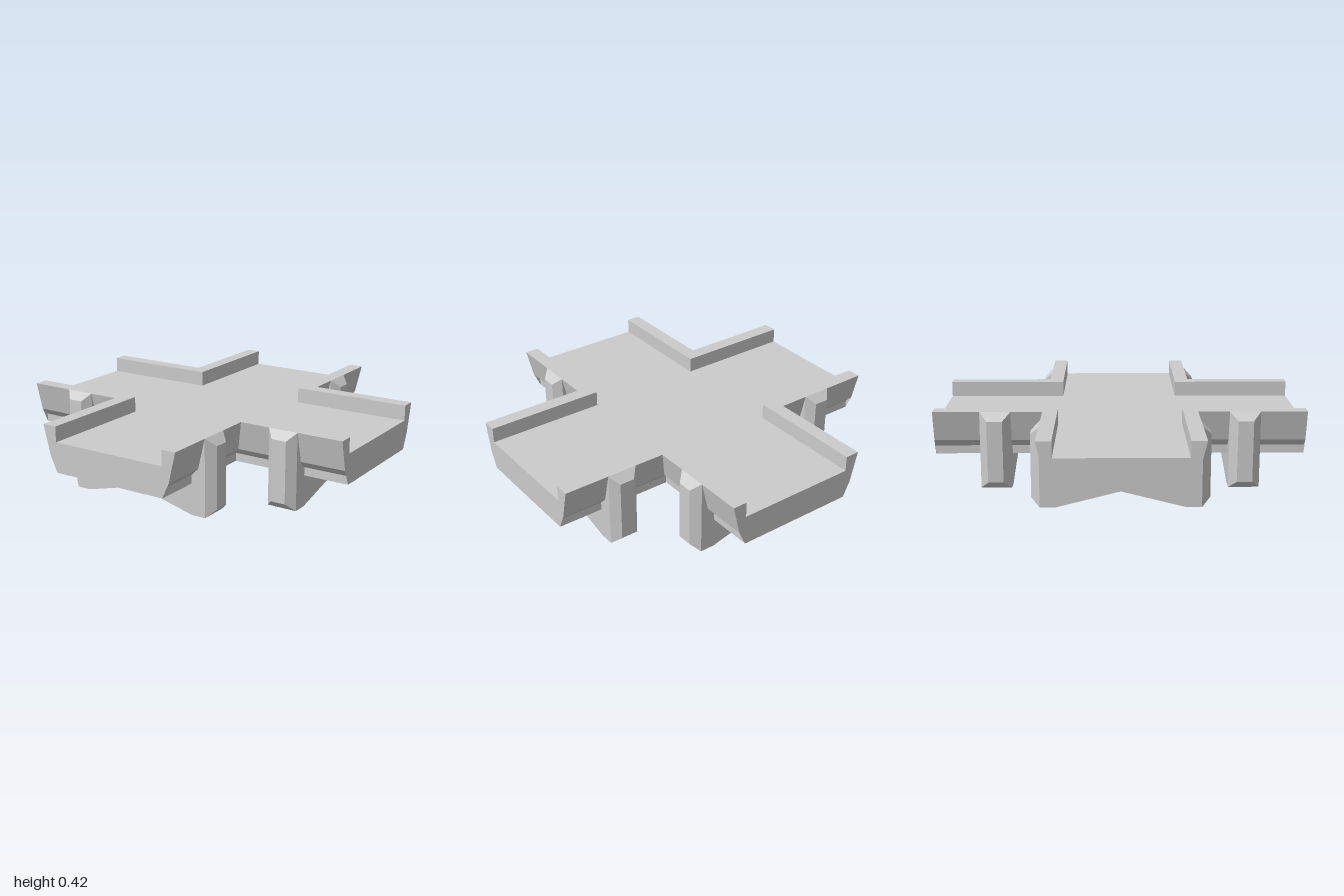
import * as THREE from 'three';

const INNER = 0.335, OUTER = 0.415, TOP = 0.42, DECK = 0.335, UNDER = 0.17;
const material = new THREE.MeshStandardMaterial({ color: 0xcccccc, flatShading: true });

function part(geometry, name) {
  const mesh = new THREE.Mesh(geometry, material);
  mesh.name = name;
  return mesh;
}

// Cross-shaped walking surface
function deckGeometry() {
  const a = INNER;
  const shape = new THREE.Shape([
    [a, 1], [-a, 1], [-a, a], [-1, a], [-1, -a], [-a, -a],
    [-a, -1], [a, -1], [a, -a], [1, -a], [1, a], [a, a],
  ].map(([x, y]) => new THREE.Vector2(x, y)));
  return new THREE.ExtrudeGeometry(shape, { depth: DECK - UNDER, bevelEnabled: false })
    .rotateX(-Math.PI / 2).translate(0, UNDER, 0);
}

// Leaning parapet section swept round one inner corner with a mitre
function parapetGeometry() {
  const profile = [[INNER, UNDER], [INNER, 0.215], [0.375, 0.255], [OUTER, TOP], [INNER, TOP]];
  const stations = [
    profile.map(([d, y]) => [d, y, 1]),
    profile.map(([d, y]) => [d, y, d]),
    profile.map(([d, y]) => [1, y, d]),
  ];
  const positions = [];
  const tri = (a, b, c) => positions.push(...a, ...b, ...c);
  for (let k = 0; k < 2; k++) {
    const near = stations[k], far = stations[k + 1];
    for (let i = 0; i < profile.length; i++) {
      const j = (i + 1) % profile.length;
      tri(near[i], far[i], far[j]);
      tri(near[i], far[j], near[j]);
    }
  }
  // End caps
  const [first, , last] = stations;
  for (const [a, b, c] of [[2, 3, 4], [2, 4, 0], [2, 0, 1]]) {
    tri(first[a], first[b], first[c]);
    tri(last[a], last[c], last[b]);
  }
  const geometry = new THREE.BufferGeometry();
  geometry.setAttribute('position', new THREE.Float32BufferAttribute(positions, 3));
  geometry.computeVertexNormals();
  return geometry;
}

// Support rib with a peaked underside, wrapping up both sides of an arm
function ribGeometry(width) {
  const half = [[0.335, 0], [OUTER, 0], [OUTER, TOP], [0.37, TOP], [0.37, 0.25]];
  const points = [[0, 0.085], ...half, ...half.map(([x, y]) => [-x, y]).reverse()];
  const shape = new THREE.Shape(points.map(([x, y]) => new THREE.Vector2(x, y)));
  return new THREE.ExtrudeGeometry(shape, { depth: width, bevelEnabled: false })
    .translate(0, 0, -width / 2);
}

// Bevelled pilaster whose outer face is smaller than its base
function pilasterGeometry(width) {
  const depth = 0.045;
  const geometry = new THREE.BoxGeometry(depth, TOP, width);
  const p = geometry.attributes.position;
  for (let i = 0; i < p.count; i++) {
    if (p.getX(i) > 0) {
      p.setY(i, p.getY(i) * 0.8);
      p.setZ(i, p.getZ(i) * 0.5);
    }
  }
  geometry.translate(OUTER + depth / 2, TOP / 2, 0);
  geometry.computeVertexNormals();
  return geometry;
}

export function createModel() {
  const model = new THREE.Group();
  model.name = 'crossWalkway';
  model.add(part(deckGeometry(), 'deck'));

  const ribWidth = 0.166;
  const parapet = parapetGeometry();
  const rib = ribGeometry(ribWidth);
  const pilaster = pilasterGeometry(ribWidth);

  // Four identical arms
  for (let i = 0; i < 4; i++) {
    const arm = new THREE.Group();
    arm.name = 'arm';
    arm.rotation.y = i * Math.PI / 2;
    arm.add(part(parapet, 'parapet'));

    const support = new THREE.Group();
    support.name = 'support';
    support.position.z = 0.667;
    support.add(part(rib, 'rib'));
    for (const turn of [0, Math.PI]) {
      const block = part(pilaster, 'pilaster');
      block.rotation.y = turn;
      support.add(block);
    }
    arm.add(support);
    model.add(arm);
  }
  return model;
}
